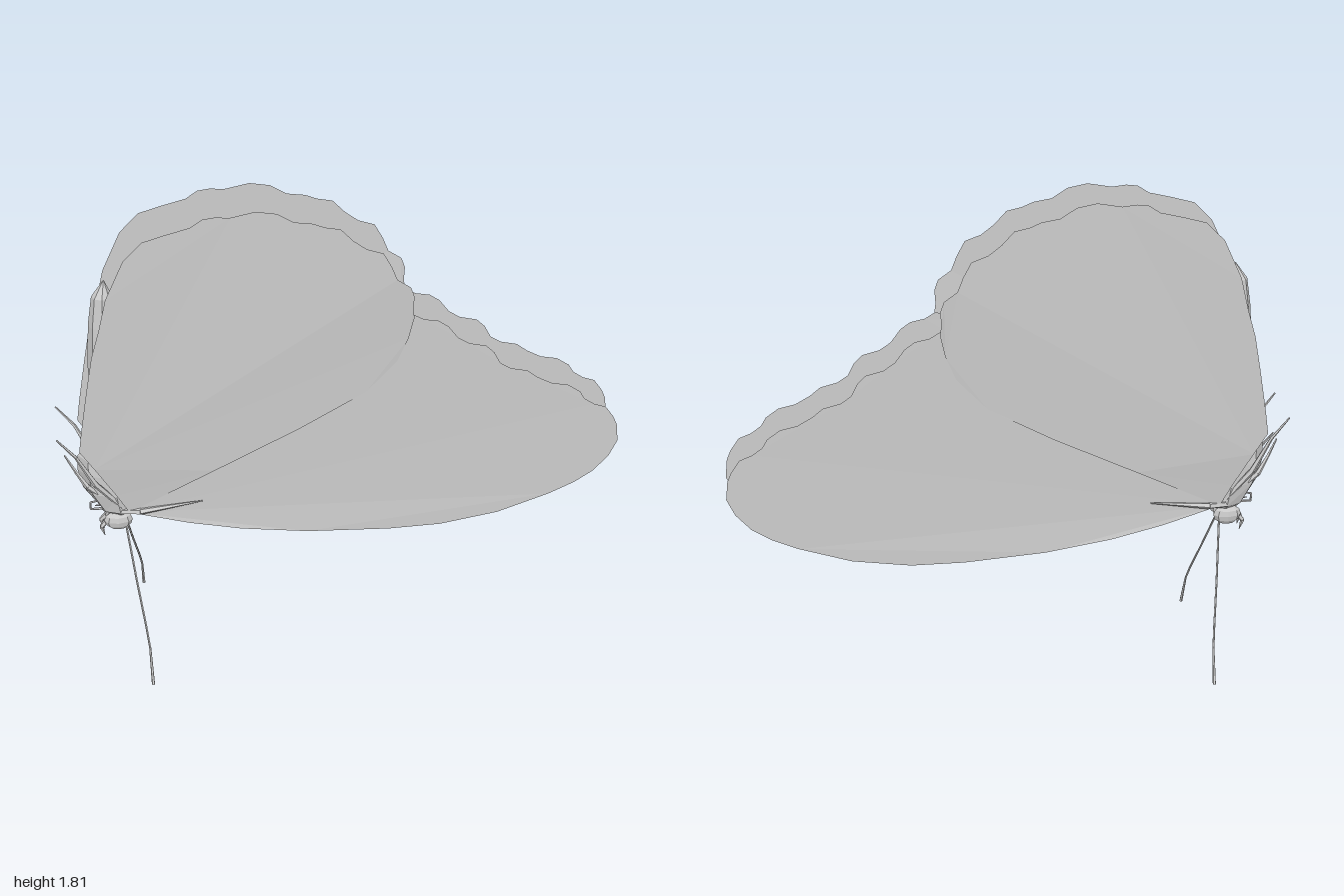
import * as THREE from 'three';

const V = (x, y, z) => new THREE.Vector3(x, y, z);

export function createModel() {
  const group = new THREE.Group();
  group.name = 'butterfly';
  const grey = new THREE.MeshStandardMaterial({ color: 0xcccccc, flatShading: true, side: THREE.DoubleSide });
  grey.name = 'grey';

  const add = (geometry, name, parent) => {
    const mesh = new THREE.Mesh(geometry, grey);
    mesh.name = name;
    parent.add(mesh);
    return mesh;
  };

  // Loft of elliptical rings [y, centre x, radius x, radius z]
  const loft = (rings, sides) => {
    const pos = [], index = [];
    for (const [y, cx, rx, rz] of rings)
      for (let i = 0; i < sides; i++) {
        const a = (i / sides) * Math.PI * 2;
        pos.push(cx + Math.cos(a) * rx, y, Math.sin(a) * rz);
      }
    for (let r = 0; r < rings.length - 1; r++)
      for (let i = 0; i < sides; i++) {
        const a = r * sides + i, b = r * sides + (i + 1) % sides;
        index.push(a, a + sides, b, b, a + sides, b + sides);
      }
    const g = new THREE.BufferGeometry();
    g.setAttribute('position', new THREE.Float32BufferAttribute(pos, 3));
    g.setIndex(index);
    g.computeVertexNormals();
    return g;
  };

  // Chain of tapered segments through points, one radius per point
  const limb = (points, radii, name, parent) => {
    const part = new THREE.Group();
    part.name = name;
    for (let i = 0; i < points.length - 1; i++) {
      const a = V(...points[i]), b = V(...points[i + 1]);
      const d = b.clone().sub(a);
      const m = add(new THREE.CylinderGeometry(radii[i + 1], radii[i], d.length(), 5), name + 'Segment', part);
      m.position.copy(a).add(b).multiplyScalar(0.5);
      m.quaternion.setFromUnitVectors(V(0, 1, 0), d.normalize());
    }
    parent.add(part);
  };

  // Thin wing from an outline, with its depth given by a rule
  const wing = (outline, depth, name, parent) => {
    const shape = new THREE.Shape(outline.map(([x, y]) => new THREE.Vector2(x, y)));
    const g = new THREE.ShapeGeometry(shape);
    const p = g.attributes.position;
    for (let i = 0; i < p.count; i++) {
      const x = p.getX(i), y = p.getY(i);
      const root = Math.max(0, 1 - Math.hypot(x + 0.77, y - 0.63) / 0.35);
      p.setZ(i, depth(x, y) - 0.01 * root);
    }
    g.computeVertexNormals();
    add(g, name, parent);
  };
  const lowerDepth = () => 0.087;
  // The upper wing settles onto the lower one along their shared border
  const upperDepth = (x, y) => {
    const above = y - (0.63 + (x + 0.76) * 0.56);
    return 0.088 + 0.012 * THREE.MathUtils.clamp((above - 0.06) / 0.15, 0, 1);
  };

  // Body, running upwards from the head
  add(loft([
    [0.59, -0.79, 0.03, 0.04], [0.62, -0.79, 0.075, 0.07], [0.70, -0.8, 0.115, 0.078],
    [0.78, -0.8, 0.13, 0.077], [0.84, -0.81, 0.115, 0.068], [0.87, -0.83, 0.07, 0.05],
  ], 8), 'thorax', group);
  add(loft([
    [0.82, -0.8, 0.08, 0.065], [0.92, -0.81, 0.06, 0.055], [1.03, -0.815, 0.045, 0.036],
    [1.2, -0.815, 0.05, 0.047], [1.37, -0.805, 0.048, 0.042], [1.48, -0.8, 0.035, 0.032], [1.54, -0.79, 0.001, 0.001],
  ], 8), 'abdomen', group);
  const head = add(new THREE.SphereGeometry(0.045, 8, 6), 'head', group);
  head.position.set(-0.8, 0.57, 0);

  // Coiled feeding tube
  limb([[-0.83, 0.58, 0], [-0.855, 0.6, 0], [-0.895, 0.6, 0], [-0.895, 0.63, 0], [-0.865, 0.635, 0], [-0.86, 0.615, 0], [-0.88, 0.615, 0]],
    [0.006, 0.005, 0.004, 0.004, 0.003, 0.003, 0.002], 'proboscis', group);

  const hindwing = [
    [-0.76, 0.63], [-0.714, 0.615], [-0.553, 0.567], [-0.366, 0.524], [-0.126, 0.487], [0.17, 0.468], [0.36, 0.47],
    [0.57, 0.503], [0.757, 0.567], [0.85, 0.61], [0.917, 0.655], [0.97, 0.717], [0.998, 0.78], [0.99, 0.85],
    [0.975, 0.885], [0.944, 0.93], [0.9, 0.947], [0.864, 0.973], [0.845, 1.005], [0.8, 1.037], [0.74, 1.05],
    [0.687, 1.08], [0.65, 1.11], [0.59, 1.125], [0.553, 1.15], [0.53, 1.195], [0.5, 1.225], [0.44, 1.24],
    [0.40, 1.267], [0.365, 1.315], [0.33, 1.34], [0.28, 1.35], [0.243, 1.372], [0.05, 1.33], [-0.4, 1.1], [-0.72, 0.76],
  ];
  const forewing = [
    [-0.76, 0.63], [-0.8, 0.71], [-0.87, 0.84], [-0.917, 0.92], [-0.905, 1.0], [-0.875, 1.17], [-0.85, 1.3],
    [-0.82, 1.4], [-0.79, 1.52], [-0.725, 1.66], [-0.66, 1.727], [-0.58, 1.75], [-0.5, 1.77], [-0.46, 1.797],
    [-0.42, 1.802], [-0.37, 1.797], [-0.286, 1.813], [-0.217, 1.8], [-0.163, 1.765], [-0.1, 1.755], [-0.06, 1.738],
    [-0.008, 1.727], [0.035, 1.68], [0.08, 1.645], [0.136, 1.625], [0.165, 1.57], [0.184, 1.52], [0.23, 1.487],
    [0.243, 1.45], [0.24, 1.4], [0.245, 1.365], [0.227, 1.28], [0.19, 1.19], [0.08, 1.07], [-0.15, 0.94], [-0.45, 0.79],
  ];

  // Paired parts, mirrored across z
  for (const side of [1, -1]) {
    const half = new THREE.Group();
    half.name = side > 0 ? 'frontHalf' : 'backHalf';
    half.scale.z = side;
    group.add(half);

    wing(hindwing, lowerDepth, 'lowerWing', half);
    wing(forewing, upperDepth, 'upperWing', half);

    const eye = add(new THREE.SphereGeometry(0.034, 8, 6), 'eye', half);
    eye.position.set(-0.8, 0.57, 0.035);
    eye.scale.set(1.5, 1.15, 0.75);

    limb([[-0.84, 0.56, 0.018], [-0.862, 0.535, 0.022], [-0.852, 0.495, 0.02]], [0.011, 0.008, 0.001], 'palp', half);
    limb([[-0.775, 0.545, 0.018], [-0.75, 0.35, 0.13], [-0.73, 0.21, 0.21], [-0.722, 0.14, 0.246], [-0.72, 0.01, 0.298]],
      [0.004, 0.004, 0.004, 0.004, 0.006], 'antenna', half);

    limb([[-0.78, 0.64, 0.06], [-0.87, 0.77, 0.088], [-0.93, 0.9, 0.1], [-0.99, 0.98, 0.104]],
      [0.01, 0.011, 0.006, 0.003], 'frontLeg', half);
    limb([[-0.8, 0.64, 0.04], [-0.9, 0.74, 0.055], [-0.935, 0.8, 0.045], [-0.97, 0.86, 0.025]],
      [0.012, 0.01, 0.006, 0.003], 'middleLeg', half);
    limb([[-0.79, 0.625, 0.06], [-0.72, 0.635, 0.085], [-0.5, 0.667, 0.094]],
      [0.012, 0.012, 0.002], 'rearLeg', half);
  }
  return group;
}
